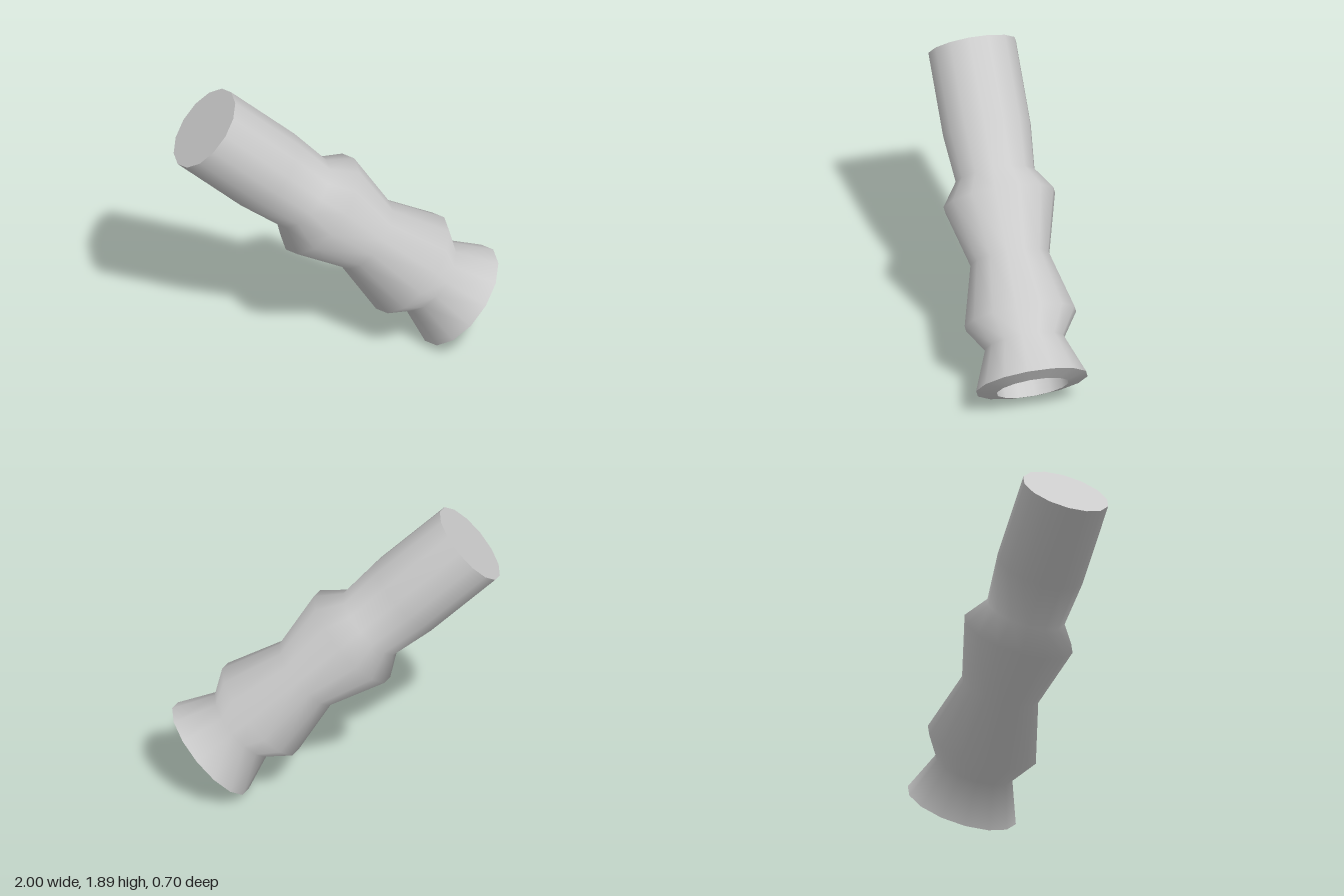
import * as THREE from 'three';

const SIDES = 14;

// One lathed surface; profile points are [radius, height along the axis].
function turned(name, profile, material) {
  const points = profile.map(([r, y]) => new THREE.Vector2(r, y));
  const mesh = new THREE.Mesh(new THREE.LatheGeometry(points, SIDES), material);
  mesh.name = name;
  return mesh;
}

export function createModel() {
  const material = new THREE.MeshStandardMaterial({ color: 0xcccccc });
  const length = 2.14;
  const boreRadius = 0.225;
  const lipY = -0.027;
  const boreEnd = 2.05;

  // Tilted handle: local y runs from the flared open end to the capped end.
  const handle = new THREE.Group();
  handle.name = 'handle';
  handle.position.set(0.77, 0.255, 0);
  handle.rotation.z = 0.836;

  handle.add(
    // Ribbed outer wall: flare, two ridges, then the straight grip
    turned('ribbedGrip', [
      [0.35, 0], [0.247, 0.257], [0.35, 0.412], [0.247, 0.789],
      [0.35, 1.169], [0.248, 1.316], [0.275, 1.61], [0.275, length],
    ], material),
    // Closed far end
    turned('endCap', [[0.275, length], [0, length]], material),
    // Slightly raised ring around the opening
    turned('rim', [[boreRadius, lipY], [0.35, 0]], material),
    // Deep hollow and its floor
    turned('bore', [[boreRadius, boreEnd], [boreRadius, lipY]], material),
    turned('boreFloor', [[0, boreEnd], [boreRadius, boreEnd]], material),
  );

  const model = new THREE.Group();
  model.name = 'ribbedHandle';
  model.add(handle);
  return model;
}
